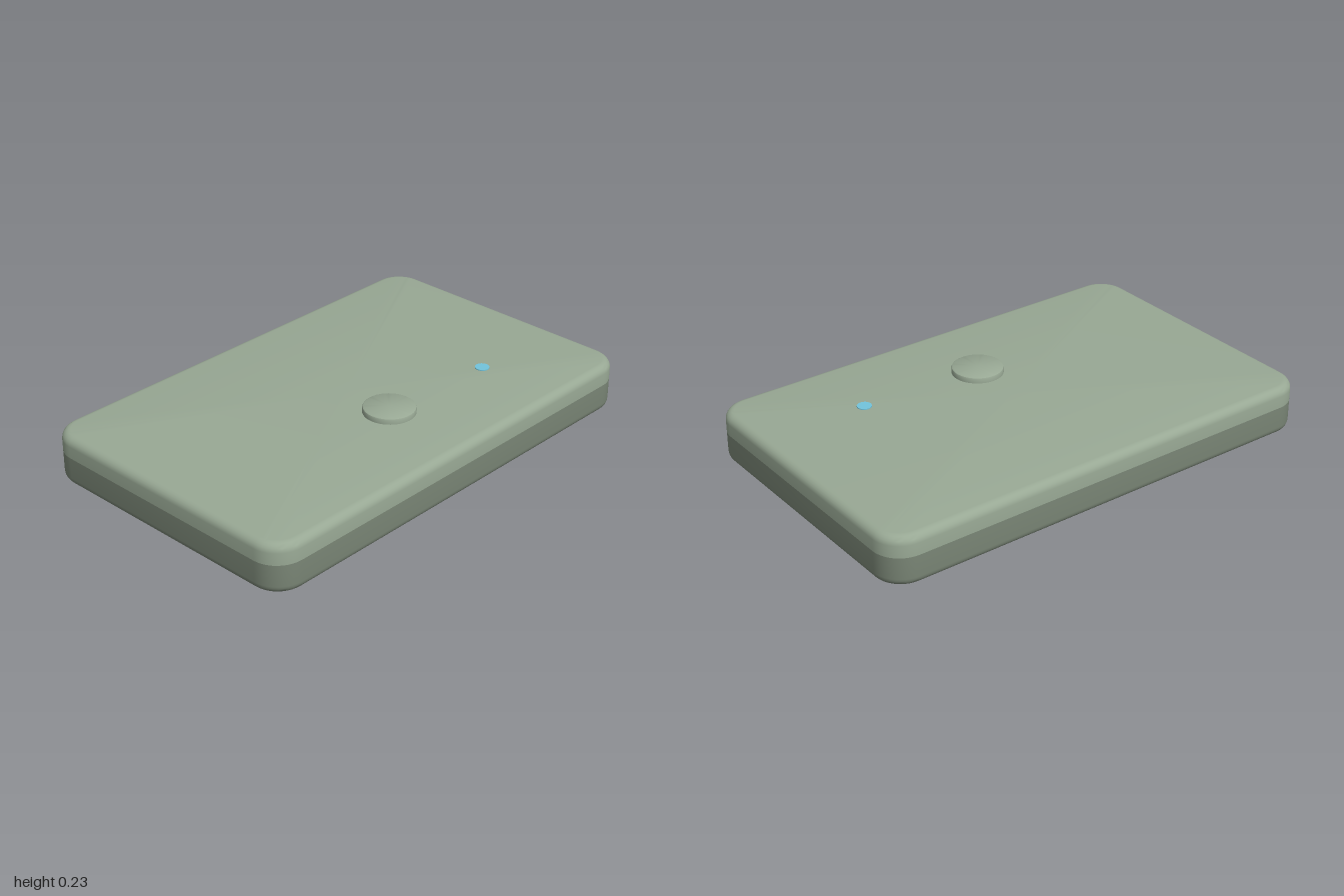
import * as THREE from 'three';
import { toCreasedNormals } from 'three/addons/utils/BufferGeometryUtils.js';

const HALF_X = 1, HALF_Z = 0.625, CORNER = 0.12, EDGE = 0.035, SEAM = 0.125, TOP = 0.21;

const paint = (color) => new THREE.MeshStandardMaterial({ color });

function addPart(group, name, geometry, material) {
  const mesh = new THREE.Mesh(geometry, material);
  mesh.name = name;
  group.add(mesh);
  return mesh;
}

// Rounded rectangle at height y, pulled in by inset
function ring(inset, y, steps = 10) {
  const r = CORNER - inset, points = [];
  for (let q = 0; q < 4; q++) {
    const sx = q === 0 || q === 3 ? 1 : -1, sz = q < 2 ? 1 : -1;
    for (let i = 0; i <= steps; i++) {
      const a = (q + i / steps) * Math.PI / 2;
      points.push([sx * (HALF_X - CORNER) + r * Math.cos(a), y, sz * (HALF_Z - CORNER) + r * Math.sin(a)]);
    }
  }
  return points;
}

// Skin a rising stack of [inset, y] rings, closing the bottom or the top
function shell(profile, closeTop) {
  const rings = profile.map(([inset, y]) => ring(inset, y));
  const n = rings[0].length, out = [];
  const tri = (a, b, c) => out.push(...a, ...b, ...c);
  for (let k = 0; k < rings.length - 1; k++) {
    const low = rings[k], high = rings[k + 1];
    for (let j = 0; j < n; j++) {
      const m = (j + 1) % n;
      tri(low[j], high[j], low[m]);
      tri(low[m], high[j], high[m]);
    }
  }
  const rim = closeTop ? rings[rings.length - 1] : rings[0];
  const centre = [0, rim[0][1], 0];
  for (let j = 0; j < n; j++) {
    const m = (j + 1) % n;
    if (closeTop) tri(centre, rim[m], rim[j]);
    else tri(centre, rim[j], rim[m]);
  }
  const geometry = new THREE.BufferGeometry();
  geometry.setAttribute('position', new THREE.Float32BufferAttribute(out, 3));
  return toCreasedNormals(geometry, 0.6);
}

// Quarter-round edge running from the side wall towards the flat face
function roundEdge(faceY, dir, steps = 6) {
  return Array.from({ length: steps + 1 }, (_, i) => {
    const a = (i / steps) * Math.PI / 2;
    return [EDGE * (1 - Math.cos(a)), faceY + dir * EDGE * (Math.sin(a) - 1)];
  });
}

export function createModel() {
  const model = new THREE.Group();
  model.name = 'flatCase';
  const upperPaint = paint(0x98a894);

  // Two-tone case meeting at the seam
  addPart(model, 'lowerShell', shell([...roundEdge(0, -1).reverse(), [0, SEAM]], false), paint(0x7a8676));
  addPart(model, 'upperShell', shell([[0, SEAM], ...roundEdge(TOP, 1)], true), upperPaint);

  // Round push button with a softened rim
  const buttonProfile = [[0.107, 0], [0.107, 0.017], [0.105, 0.022], [0.1, 0.025], [0, 0.025]]
    .map(([r, y]) => new THREE.Vector2(r, y));
  const button = addPart(model, 'button',
    toCreasedNormals(new THREE.LatheGeometry(buttonProfile, 48), 0.6), upperPaint);
  button.position.set(0, TOP, 0.235);

  // Indicator light
  const light = addPart(model, 'indicatorLight', new THREE.CylinderGeometry(0.03, 0.03, 0.008, 24), paint(0x72c4dc));
  light.position.set(0.53, TOP, 0.265);

  return model;
}
